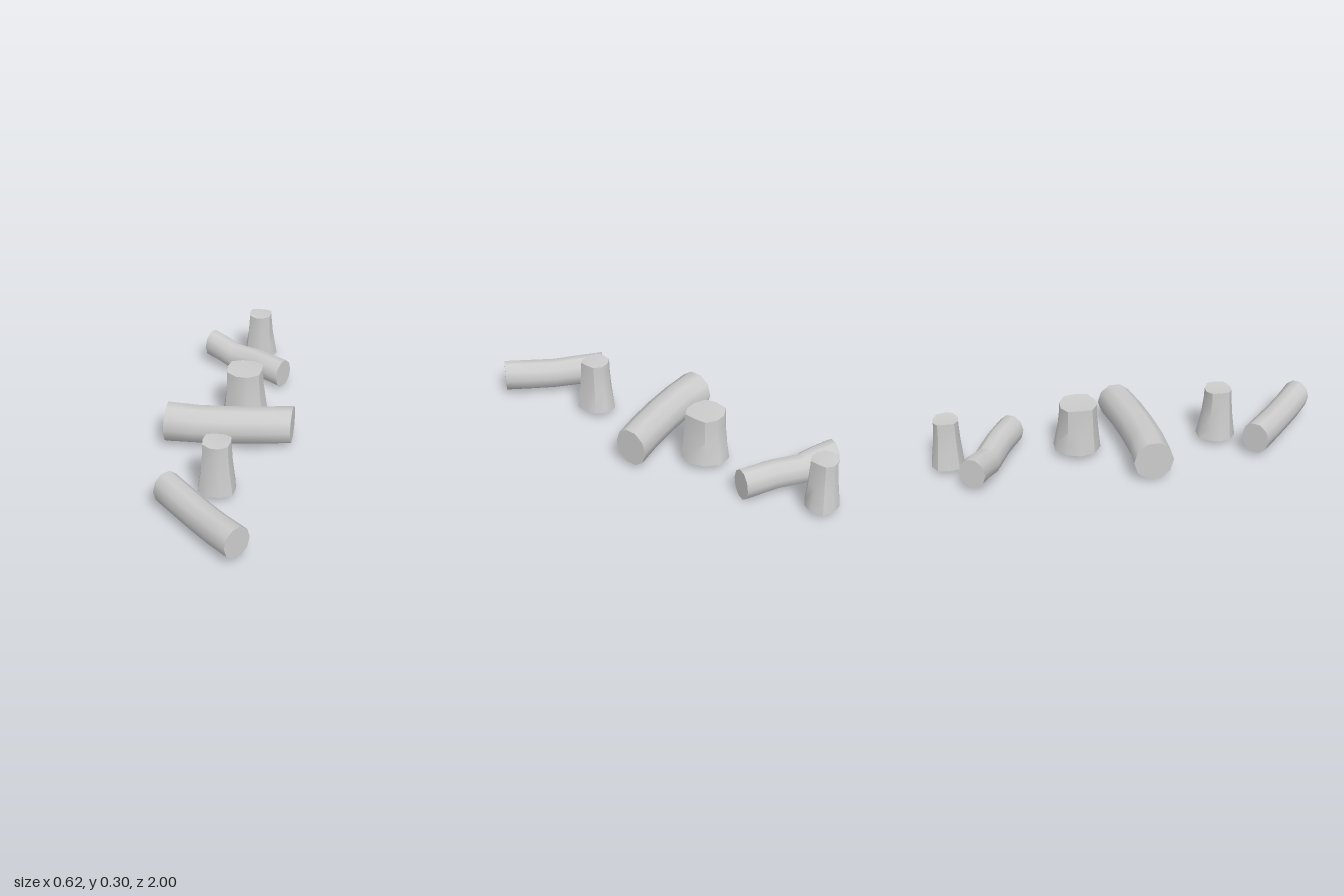
import * as THREE from 'three';
import { toCreasedNormals } from 'three/addons/utils/BufferGeometryUtils.js';

const SIDES = 10;
const material = new THREE.MeshStandardMaterial({ color: 0xcccccc });

// Skin a list of rings (each SIDES points, counter-clockwise about the path) and close both ends.
function loft(name, rings) {
  const pos = [], index = [];
  rings.forEach(ring => ring.forEach(p => pos.push(p.x, p.y, p.z)));
  for (let i = 0; i < rings.length - 1; i++) {
    for (let j = 0; j < SIDES; j++) {
      const k = (j + 1) % SIDES;
      const a = i * SIDES + j, b = i * SIDES + k;
      index.push(a, b, b + SIDES, a, b + SIDES, a + SIDES);
    }
  }
  const cap = (row, flip) => {
    const c = new THREE.Vector3();
    rings[row].forEach(p => c.addScaledVector(p, 1 / SIDES));
    const centre = pos.length / 3;
    pos.push(c.x, c.y, c.z);
    for (let j = 0; j < SIDES; j++) {
      const a = row * SIDES + j, b = row * SIDES + (j + 1) % SIDES;
      if (flip) index.push(centre, b, a); else index.push(centre, a, b);
    }
  };
  cap(0, true);
  cap(rings.length - 1, false);
  const geo = new THREE.BufferGeometry();
  geo.setAttribute('position', new THREE.Float32BufferAttribute(pos, 3));
  geo.setIndex(index);
  const mesh = new THREE.Mesh(toCreasedNormals(geo, 0.75), material);
  mesh.name = name;
  return mesh;
}

// Lying log: path points [x, y, z, horizontal radius, vertical half height], ends cut square to dir.
function log(name, dir, path) {
  const side = new THREE.Vector3(dir[0], 0, dir[1]).normalize().cross(new THREE.Vector3(0, 1, 0));
  return loft(name, path.map(([x, y, z, rh, rv]) =>
    Array.from({ length: SIDES }, (_, j) => {
      const a = (j + 0.5) / SIDES * Math.PI * 2;
      return new THREE.Vector3(x, y + Math.cos(a) * rv / Math.cos(Math.PI / SIDES), z)
        .addScaledVector(side, Math.sin(a) * rh);
    })));
}

// Standing stump: irregular flared foot (radii by angle) blending into a rounded-square top.
function stump(name, foot, top, y0, y1, radii) {
  const levels = [[0, 0], [0.2, 0.28], [0.5, 0.7], [0.78, 0.93], [1, 1]];
  return loft(name, levels.map(([h, blend]) =>
    radii.map((r, j) => {
      const a = -j / SIDES * Math.PI * 2;
      const c = Math.cos(a), s = Math.sin(a);
      const rTop = top.r / Math.pow(c ** 4 + s ** 4, 0.2);
      const rad = THREE.MathUtils.lerp(r, rTop, blend);
      const wobble = h === 1 ? 0.004 * Math.cos(2 * a) - 0.004 : 0;
      return new THREE.Vector3(
        THREE.MathUtils.lerp(foot[0], top.x, blend) + c * rad,
        y0 + (y1 - y0) * h + wobble,
        THREE.MathUtils.lerp(foot[1], top.z, blend) + s * rad);
    })));
}

export function createModel() {
  const model = new THREE.Group();
  model.name = 'logsAndStumps';
  model.add(
    // Lying logs, front to back
    log('frontLog', [0.4, 0.345], [
      [-0.187, 0.104, 0.6, 0.072, 0.08],
      [-0.09, 0.1, 0.685, 0.072, 0.078],
      [0.015, 0.094, 0.775, 0.071, 0.076],
      [0.11, 0.099, 0.86, 0.071, 0.077],
      [0.213, 0.108, 0.945, 0.071, 0.077],
    ]),
    log('middleLog', [1, 0], [
      [-0.314, 0.11, 0.058, 0.098, 0.098],
      [-0.16, 0.112, 0.055, 0.094, 0.094],
      [0, 0.113, 0.037, 0.093, 0.093],
      [0.16, 0.114, 0.01, 0.092, 0.093],
      [0.311, 0.115, -0.025, 0.091, 0.093],
    ]),
    log('backLog', [0.44, 0.222], [
      [-0.263, 0.11, -0.811, 0.067, 0.075],
      [-0.19, 0.098, -0.774, 0.067, 0.074],
      [-0.11, 0.074, -0.733, 0.067, 0.074],
      [0.03, 0.089, -0.663, 0.067, 0.073],
      [0.178, 0.08, -0.588, 0.067, 0.075],
    ]),
    // Standing stumps
    stump('frontStump', [0.025, 0.45], { x: 0.025, z: 0.457, r: 0.066 }, 0.03, 0.296,
      [0.088, 0.095, 0.1, 0.1, 0.088, 0.092, 0.1, 0.1, 0.095, 0.105]),
    stump('middleStump', [0.027, -0.265], { x: 0.025, z: -0.26, r: 0.091 }, 0.036, 0.281,
      [0.12, 0.12, 0.127, 0.125, 0.115, 0.115, 0.12, 0.115, 0.119, 0.125]),
    stump('backStump', [-0.005, -0.918], { x: -0.006, z: -0.913, r: 0.061 }, 0.026, 0.276,
      [0.095, 0.1, 0.085, 0.085, 0.09, 0.087, 0.09, 0.085, 0.082, 0.085]),
  );
  return model;
}
